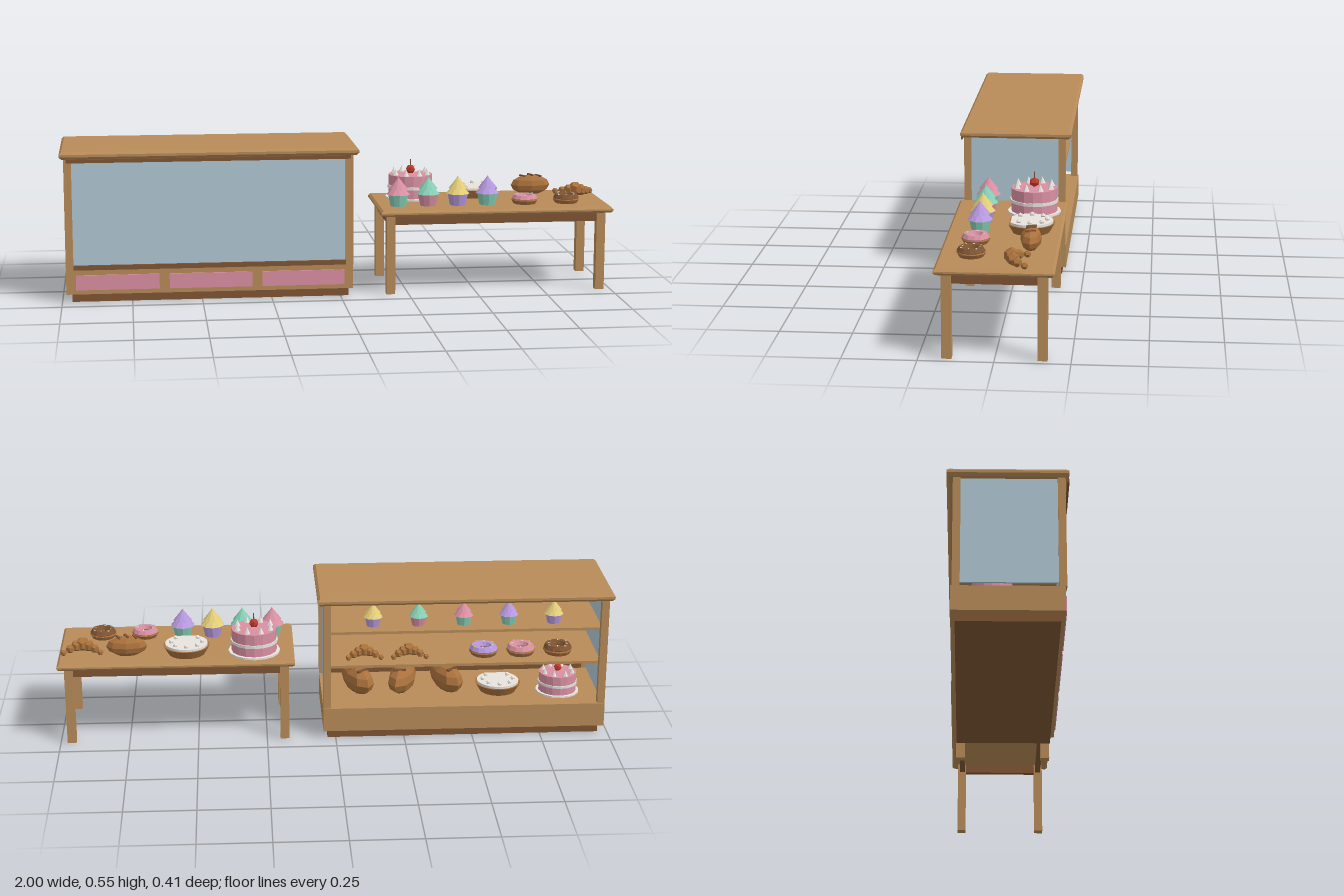
import * as THREE from 'three';

const mat = (name, color) => {
  const m = new THREE.MeshStandardMaterial({ color });
  m.name = name;
  return m;
};

export function createModel() {
  const wood = mat('wood', 0xb88b58), dark = mat('darkWood', 0x7f5534), glass = mat('glass', 0xb0c8d4);
  const pink = mat('pink', 0xd98fa2), white = mat('cream', 0xebe6e0), red = mat('cherryRed', 0xc03a2b);
  const mint = mat('mint', 0x86cdb4), purple = mat('lilac', 0xb698dd), yellow = mat('yellow', 0xe2cc78);
  const crust = mat('crust', 0xa9713c);

  const root = new THREE.Group();
  root.name = 'bakeryDisplay';

  const group = (name, parent, x = 0, y = 0, z = 0, s = 1, yaw = 0) => {
    const g = new THREE.Group();
    g.name = name;
    g.position.set(x, y, z);
    g.scale.setScalar(s);
    g.rotation.y = yaw;
    parent.add(g);
    return g;
  };
  // Adds a faceted mesh
  const add = (parent, name, geo, m, x = 0, y = 0, z = 0) => {
    const g = geo.index ? geo.toNonIndexed() : geo;
    g.computeVertexNormals();
    const mesh = new THREE.Mesh(g, m);
    mesh.name = name;
    mesh.position.set(x, y, z);
    parent.add(mesh);
    return mesh;
  };
  // Box from its two extreme corners
  const box = (p, name, m, x0, x1, y0, y1, z0, z1) =>
    add(p, name, new THREE.BoxGeometry(x1 - x0, y1 - y0, z1 - z0), m, (x0 + x1) / 2, (y0 + y1) / 2, (z0 + z1) / 2);
  // Chamfered slab
  const slab = (p, name, x0, x1, y0, y1, hz, b) => {
    const w = (x1 - x0) / 2 - b, d = hz - b;
    const s = new THREE.Shape([[-w, -d], [w, -d], [w, d], [-w, d]].map(a => new THREE.Vector2(...a)));
    const geo = new THREE.ExtrudeGeometry(s, { depth: y1 - y0 - 2 * b, bevelThickness: b, bevelSize: b, bevelSegments: 1 });
    add(p, name, geo.rotateX(-Math.PI / 2), wood, (x0 + x1) / 2, y0 + b, 0);
  };

  // Display case
  const cab = group('displayCase', root);
  box(cab, 'plinth', dark, -0.965, 0.03, 0, 0.03, -0.17, 0.17);
  box(cab, 'caseBase', wood, -0.985, 0.045, 0.03, 0.118, -0.185, 0.185);
  for (let i = 0; i < 3; i++) {
    const x = -0.95 + i * 0.333;
    box(cab, 'frontPanel', pink, x, x + 0.297, 0.046, 0.1, 0.183, 0.19);
  }
  box(cab, 'frontRail', dark, -0.958, 0.018, 0.118, 0.135, 0.163, 0.188);
  for (const x of [-0.985, 0.018]) {
    box(cab, 'frontPost', wood, x, x + 0.027, 0.118, 0.522, 0.164, 0.19);
    box(cab, 'backPost', wood, x, x + 0.027, 0.118, 0.522, -0.181, -0.155);
    box(cab, 'sideGlass', glass, x + 0.01, x + 0.017, 0.135, 0.522, -0.156, 0.165);
  }
  box(cab, 'frontGlass', glass, -0.96, 0.02, 0.135, 0.522, 0.174, 0.18);
  box(cab, 'fascia', dark, -0.975, 0.035, 0.507, 0.52, 0.196, 0.203);
  for (const y of [0.262, 0.392]) box(cab, 'shelf', wood, -0.972, 0.028, y, y + 0.01, -0.15, 0.168);
  slab(cab, 'caseTop', -1, 0.065, 0.519, 0.546, 0.202, 0.009);

  // Table
  const table = group('table', root);
  slab(table, 'tableTop', 0.147, 1, 0.289, 0.311, 0.196, 0.008);
  for (const z of [-0.165, 0.145]) box(table, 'longApron', dark, 0.19, 0.955, 0.255, 0.29, z, z + 0.02);
  for (const x of [0.175, 0.95]) box(table, 'shortApron', dark, x, x + 0.02, 0.255, 0.29, -0.145, 0.145);
  for (const x of [0.169, 0.944])
    for (const z of [-0.173, 0.14]) box(table, 'tableLeg', wood, x, x + 0.032, 0, 0.29, z, z + 0.033);

  const cupcake = (x, y, z, s, icing, wrap) => {
    const g = group('cupcake', root, x, y, z, s);
    add(g, 'wrapper', new THREE.CylinderGeometry(0.039, 0.029, 0.046, 10), wrap, 0, 0.023, 0);
    [[0.044, 0.042, 0.043], [0.035, 0.042, 0.062], [0.023, 0.035, 0.071]].forEach(([r, h, yy], i) =>
      add(g, 'frosting', new THREE.CylinderGeometry(0.001, r, h, 10).rotateY(i * 0.3), icing, 0, yy + h / 2, 0));
  };

  const cake = (x, y, z, s) => {
    const g = group('layerCake', root, x, y, z, s);
    const disc = (name, r, h, m, yy) => add(g, name, new THREE.CylinderGeometry(r, r, h, 16), m, 0, yy + h / 2, 0);
    disc('cakeBoard', 0.094, 0.007, white, 0);
    disc('cakeBody', 0.082, 0.083, pink, 0.007);
    disc('creamBand', 0.086, 0.011, white, 0.04);
    for (let i = 0; i < 8; i++) {
      const a = (i + 0.5) * Math.PI / 4;
      add(g, 'creamPeak', new THREE.ConeGeometry(0.012, 0.025, 6), white, 0.064 * Math.cos(a), 0.102, 0.064 * Math.sin(a));
    }
    add(g, 'cherry', new THREE.IcosahedronGeometry(0.018, 0), red, 0, 0.108, 0);
    add(g, 'cherryStem', new THREE.CylinderGeometry(0.002, 0.002, 0.028, 5), dark, 0, 0.132, 0);
  };

  // Pie with a slice missing at the front
  const pie = (x, y, z, s) => {
    const g = group('pie', root, x, y, z, s);
    const sector = (name, r, h, taper, m, yy) => {
      const shape = new THREE.Shape();
      shape.moveTo(0, 0);
      shape.absarc(0, 0, r, -Math.PI / 2 + 0.52, Math.PI * 1.5 - 0.52, false);
      shape.closePath();
      const geo = new THREE.ExtrudeGeometry(shape, { depth: h, bevelEnabled: false, curveSegments: 14 }).rotateX(-Math.PI / 2);
      const p = geo.attributes.position;
      for (let i = 0; i < p.count; i++)
        if (p.getY(i) < h / 2) p.setXYZ(i, p.getX(i) * taper, p.getY(i), p.getZ(i) * taper);
      add(g, name, geo, m, 0, yy, 0);
    };
    sector('pieCrust', 0.084, 0.032, 0.78, crust, 0);
    sector('pieFilling', 0.077, 0.009, 1, white, 0.031);
    for (let i = 0; i < 7; i++) {
      const a = Math.PI / 2 + 0.8 + i * (Math.PI * 2 - 1.6) / 6;
      add(g, 'creamDot', new THREE.IcosahedronGeometry(0.009, 0), white, 0.056 * Math.cos(a), 0.044, 0.056 * Math.sin(a));
    }
  };

  const loaf = (x, y, z, s, yaw) => {
    const g = group('breadLoaf', root, x, y, z, s, yaw);
    add(g, 'loafBody', new THREE.SphereGeometry(1, 8, 6).scale(0.074, 0.038, 0.036), crust, 0, 0.037, 0);
    for (const dx of [-0.03, 0, 0.03]) {
      const cut = add(g, 'loafCut', new THREE.BoxGeometry(0.007, 0.006, 0.034), dark, dx, dx ? 0.071 : 0.075, 0);
      cut.rotation.y = 0.4;
    }
  };

  // Croissant: lumps along an arc, fattest in the middle
  const croissant = (x, y, z, s, yaw = 0) => {
    const g = group('croissant', root, x, y, z, s, yaw);
    for (let i = -3; i <= 3; i++) {
      const r = 0.027 - 0.005 * Math.abs(i);
      add(g, 'croissantLump', new THREE.DodecahedronGeometry(r, 0), crust, i * 0.022, r, 0.024 - 0.0052 * i * i);
    }
  };

  const donut = (x, y, z, s, icing, dots) => {
    const g = group('donut', root, x, y, z, s);
    const ring = (R, r) => new THREE.TorusGeometry(R, r, 6, 12).rotateX(Math.PI / 2);
    add(g, 'dough', ring(0.033, 0.016), crust, 0, 0.015, 0);
    add(g, 'icing', ring(0.033, 0.0145), icing, 0, 0.021, 0);
    for (let i = 0; i < 8; i++) {
      const a = i * Math.PI / 4 + 0.2, r = i % 2 ? 0.037 : 0.029;
      const m = add(g, 'sprinkle', new THREE.BoxGeometry(0.008, 0.003, 0.003), dots[i % dots.length], r * Math.cos(a), 0.034, r * Math.sin(a));
      m.rotation.y = i * 1.3;
    }
  };

  // Goods on the table
  const T = 0.311;
  const flavours = [[pink, mint], [mint, pink], [yellow, purple], [purple, mint]];
  flavours.forEach(([a, b], i) => cupcake(0.223 + i * 0.11, T, 0.084, 1, a, b));
  cake(0.292, T, -0.084, 1);
  pie(0.537, T, -0.088, 1);
  loaf(0.752, T, -0.104, 1, 0);
  croissant(0.914, T, -0.076, 1);
  donut(0.692, T, 0.086, 1, pink, [white, mint]);
  donut(0.847, T, 0.086, 1, dark, [yellow, white]);

  // Goods in the case: top shelf, middle shelf, floor
  [2, 1, 0, 3, 2].forEach((f, i) => cupcake(-0.14 - i * 0.165, 0.402, -0.085, 0.8, ...flavours[f]));
  croissant(-0.11, 0.272, -0.08, 0.9);
  croissant(-0.275, 0.272, -0.08, 0.9);
  [purple, pink, dark].forEach((c, i) => donut(-0.55 - i * 0.137, 0.272, -0.06, 1.1, c, [white, yellow]));
  [0.35, -0.35, 0.35].forEach((t, i) => loaf(-0.09 - i * 0.165, 0.118, -0.02, 1.35, Math.PI / 2 + t));
  pie(-0.61, 0.118, -0.03, 1);
  cake(-0.83, 0.118, -0.05, 0.85);

  return root;
}
